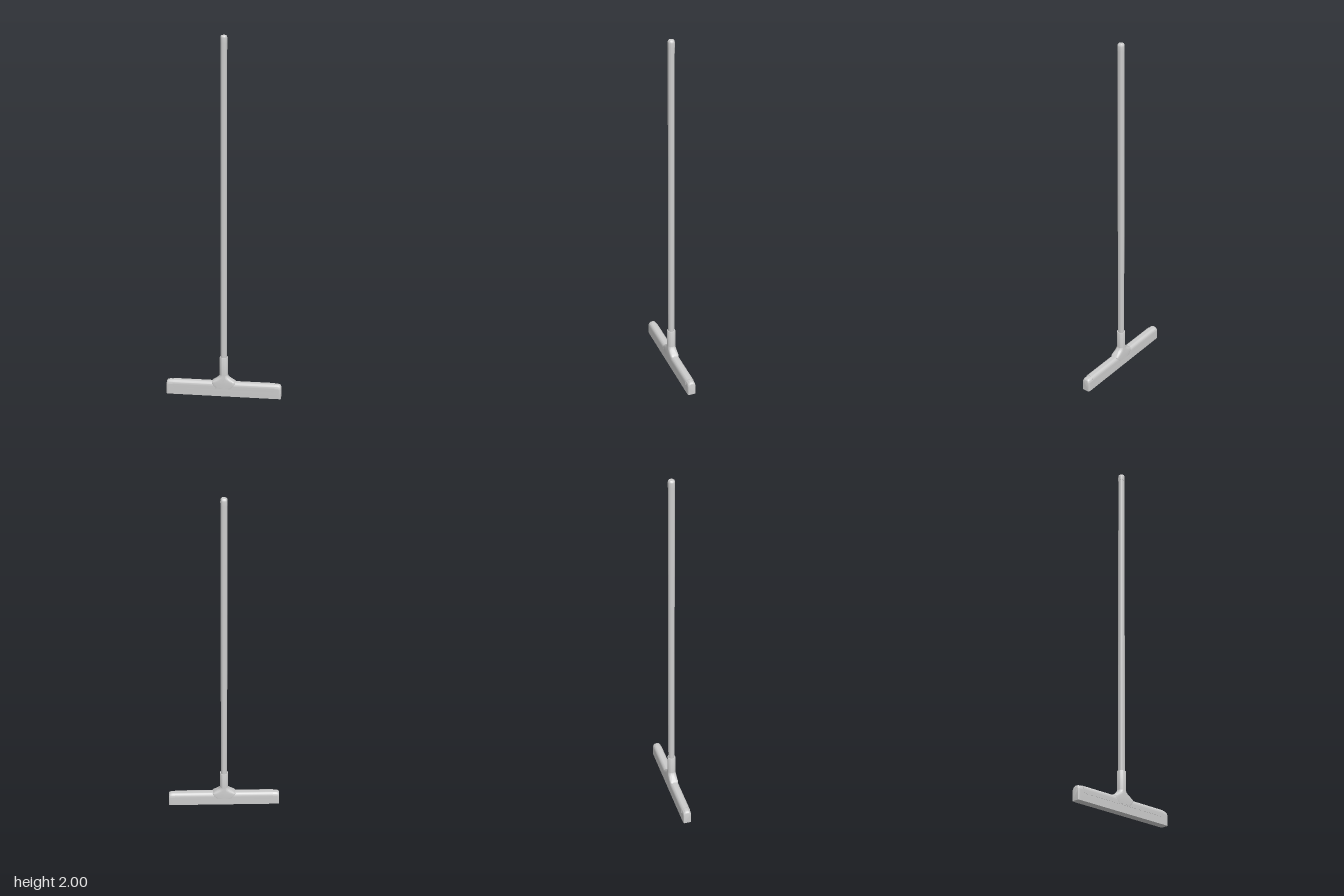
import * as THREE from 'three';
import { toCreasedNormals } from 'three/addons/utils/BufferGeometryUtils.js';

const material = new THREE.MeshStandardMaterial({ color: 0xcccccc });

// Skin a row of closed rings (each counter-clockwise about the travel axis) and cap both ends
function loft(rings) {
  const n = rings[0].length, pos = rings.flat(2), idx = [];
  for (let r = 0; r < rings.length - 1; r++) {
    for (let i = 0; i < n; i++) {
      const j = (i + 1) % n, a = r * n + i, b = r * n + j;
      idx.push(a, b, b + n, a, b + n, a + n);
    }
  }
  const last = (rings.length - 1) * n;
  for (let i = 1; i < n - 1; i++) idx.push(0, i + 1, i, last, last + i, last + i + 1);
  const g = new THREE.BufferGeometry();
  g.setAttribute('position', new THREE.Float32BufferAttribute(pos, 3));
  g.setIndex(idx);
  return toCreasedNormals(g, 0.6);
}

const power = (v, e) => Math.sign(v) * Math.abs(v) ** e;

// Arched cross-section: straight sides with a rounded top
function archRing(x, w, bottom, top, rise = 0.024) {
  const ring = [[x, bottom, -w]];
  for (let i = 0; i <= 20; i++) {
    const a = Math.PI * (1 - i / 20);
    ring.push([x, top - rise + rise * power(Math.sin(a), 0.85), w * power(Math.cos(a), 0.85)]);
  }
  ring.push([x, bottom, w]);
  return ring;
}

// Horizontal cross-section that ranges from an ellipse (e = 1) to a rounded rectangle (small e)
function hubRing(y, hx, hz, e) {
  const ring = [];
  for (let i = 0; i < 40; i++) {
    const a = (i / 40) * Math.PI * 2;
    ring.push([hx * power(Math.sin(a), e), y, hz * power(Math.cos(a), e)]);
  }
  return ring;
}

// Mirror a half list of arch sections, given from the end inwards, to both sides
function mirroredBar(sections) {
  const left = sections.map(([x, ...s]) => archRing(-x, ...s));
  const right = sections.map(([x, ...s]) => archRing(x, ...s)).reverse();
  return loft([...left, ...right]);
}

function lathe(points) {
  const g = new THREE.LatheGeometry(points.map(([r, y]) => new THREE.Vector2(r, y)), 40);
  return toCreasedNormals(g, 0.6);
}

export function createModel() {
  const model = new THREE.Group();
  model.name = 'floorSqueegee';
  const add = (name, geometry) => {
    const mesh = new THREE.Mesh(geometry, material);
    mesh.name = name;
    model.add(mesh);
  };

  // Rubber blade block with softened upper ends
  add('blade', mirroredBar([
    [0.32, 0.0195, 0, 0.068],
    [0.3185, 0.0212, 0, 0.073],
    [0.315, 0.0222, 0, 0.077],
    [0.308, 0.0228, 0, 0.0795],
    [0.298, 0.023, 0, 0.0805],
  ]));

  // Housing clamped over the blade, lower end corners rounded
  add('housing', mirroredBar([
    [0.285, 0.0245, 0.05, 0.083],
    [0.2835, 0.0245, 0.045, 0.083],
    [0.28, 0.0245, 0.0415, 0.083],
    [0.274, 0.0245, 0.04, 0.083],
  ]));

  // Flared hub between housing and socket
  add('hub', loft([
    hubRing(0.045, 0.048, 0.0255, 0.25),
    hubRing(0.054, 0.057, 0.0255, 0.25),
    hubRing(0.064, 0.065, 0.0255, 0.25),
    hubRing(0.08, 0.066, 0.0253, 0.28),
    hubRing(0.085, 0.062, 0.025, 0.35),
    hubRing(0.094, 0.049, 0.0246, 0.5),
    hubRing(0.104, 0.036, 0.0242, 0.75),
    hubRing(0.113, 0.027, 0.0238, 0.95),
    hubRing(0.122, 0.0235, 0.0235, 1),
  ]));

  // Socket sleeve around the pole
  add('socket', lathe([
    [0, 0.1], [0.0235, 0.1], [0.0235, 0.222], [0.0225, 0.225], [0.0175, 0.225],
  ]));

  // Long pole
  add('pole', lathe([[0, 0.12], [0.0178, 0.12], [0.0178, 1.965], [0, 1.965]]));

  // Rounded end cap
  add('endCap', lathe([
    [0, 1.96], [0.0184, 1.96], [0.0184, 1.984], [0.0176, 1.991],
    [0.0155, 1.996], [0.012, 1.999], [0, 2],
  ]));

  return model;
}
